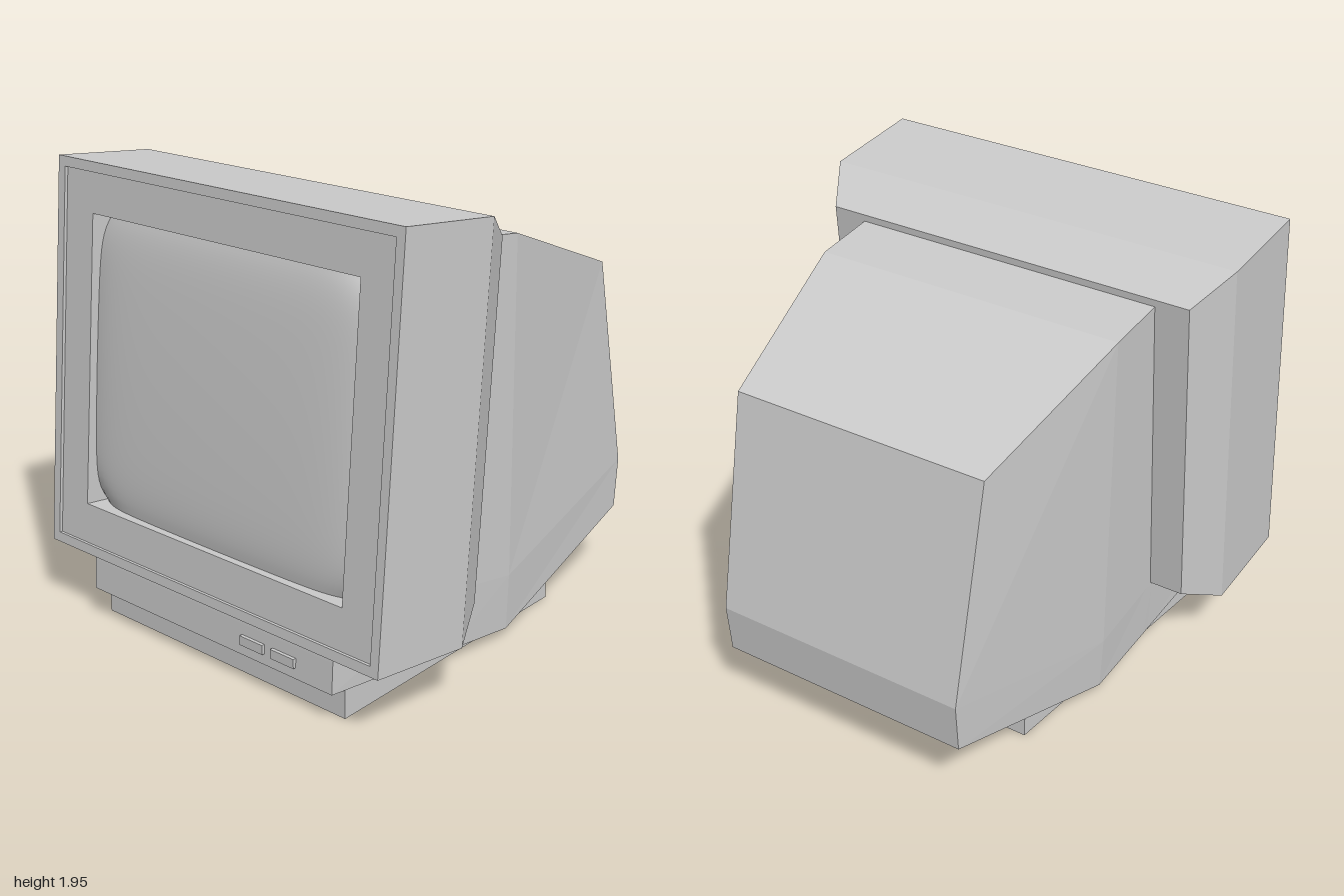
import * as THREE from 'three';

const material = new THREE.MeshStandardMaterial({ color: 0xcccccc });
const flat = new THREE.MeshStandardMaterial({ color: 0xcccccc, flatShading: true });

function add(parent, name, geometry, mat = flat) {
  const mesh = new THREE.Mesh(geometry, mat);
  mesh.name = name;
  parent.add(mesh);
  return mesh;
}

// Flat-faced loft, front to back. Each section lists its +x half from bottom to top.
function loft(sections) {
  const rings = sections.map((half) => [
    ...half,
    ...half.slice().reverse().map(([x, y, z]) => [-x, y, z]),
  ]);
  const n = rings[0].length;
  const pos = [];
  const quad = (a, b, c, d) => pos.push(...a, ...b, ...c, ...a, ...c, ...d);
  for (let i = 0; i < rings.length - 1; i++) {
    for (let j = 0; j < n; j++) {
      const k = (j + 1) % n;
      quad(rings[i][j], rings[i + 1][j], rings[i + 1][k], rings[i][k]);
    }
  }
  const front = rings[0];
  const back = rings[rings.length - 1];
  for (let j = 0; j < n / 2 - 1; j++) {
    const k = n - 1 - j;
    quad(front[j], front[j + 1], front[k - 1], front[k]);
    quad(back[k], back[k - 1], back[j + 1], back[j]);
  }
  const g = new THREE.BufferGeometry();
  g.setAttribute('position', new THREE.Float32BufferAttribute(pos, 3));
  g.computeVertexNormals();
  return g;
}

function rectangle(Type, w, h) {
  const s = new Type();
  s.moveTo(-w, -h);
  s.lineTo(w, -h);
  s.lineTo(w, h);
  s.lineTo(-w, h);
  s.closePath();
  return s;
}

// Rectangular frame (half sizes) running back from z = front to z = back
function frame(w, h, holeW, holeH, front, back) {
  const s = rectangle(THREE.Shape, w, h);
  s.holes.push(rectangle(THREE.Path, holeW, holeH));
  return new THREE.ExtrudeGeometry(s, { depth: front - back, bevelEnabled: false })
    .translate(0, 0, back);
}

export function createModel() {
  const model = new THREE.Group();
  model.name = 'monitor';

  // Screen housing, leaning back; its local z = 0 is the front face
  const housing = new THREE.Group();
  housing.name = 'screenHousing';
  housing.position.set(0, 1.12, 0.93);
  housing.rotation.x = -0.0842;
  model.add(housing);

  const W = 0.963, H = 0.833;
  add(housing, 'bezelRim', frame(W, H, 0.921, 0.791, 0, -0.2));
  add(housing, 'bezelPanel', frame(0.925, 0.795, 0.752, 0.62, -0.014, -0.2));
  const box = (w, h, z) => [[w, -h, z], [w, h, z]];
  add(housing, 'housingShell', loft([
    box(W, H, -0.2),
    box(W, H, -0.472),
    box(W - 0.105, H - 0.105, -0.66),
  ]));

  // Bulging glass that falls away at the rim and corners
  const glass = new THREE.PlaneGeometry(1.51, 1.245, 48, 40);
  const p = glass.attributes.position;
  for (let i = 0; i < p.count; i++) {
    const u = p.getX(i) / 0.755, v = p.getY(i) / 0.6225;
    const u2 = u * u, v2 = v * v;
    const edge = 0.018 * (u ** 8 + v ** 8) + 0.05 * u ** 10 * v ** 10;
    p.setZ(i, -0.022 - 0.012 * (u2 + v2) - edge);
  }
  glass.computeVertexNormals();
  add(housing, 'screen', glass, material);

  // Chin and tapering rear case: bottom, crease and top corner of each section
  add(model, 'rearCase', loft([
    [[0.708, 0.13, 0.98], [0.708, 0.26, 0.973], [0.708, 0.3, 0.97]],
    [[0.7, 0.073, 0.35], [0.706, 0.32, 0.35], [0.706, 0.36, 0.35]],
    [[0.7, 0.068, 0.3], [0.706, 0.33, 0.3], [0.706, 1.765, 0.27]],
    [[0.695, 0.035, -0.07], [0.705, 0.28, -0.07], [0.705, 1.73, -0.07]],
    [[0.575, 0.29, -0.98], [0.575, 0.51, -1.0], [0.58, 1.46, -0.81]],
  ]));

  // Buttons on the chin
  for (const x of [0.274, 0.448]) {
    const button = add(model, 'button', new THREE.BoxGeometry(0.128, 0.04, 0.04));
    button.position.set(x, 0.195, 0.97);
  }

  // Foot, narrower towards the back
  add(model, 'base', loft([
    [[0.704, 0, 0.905], [0.704, 0.13, 0.905]],
    [[0.577, 0, -0.49], [0.577, 0.16, -0.49]],
  ]));

  return model;
}
